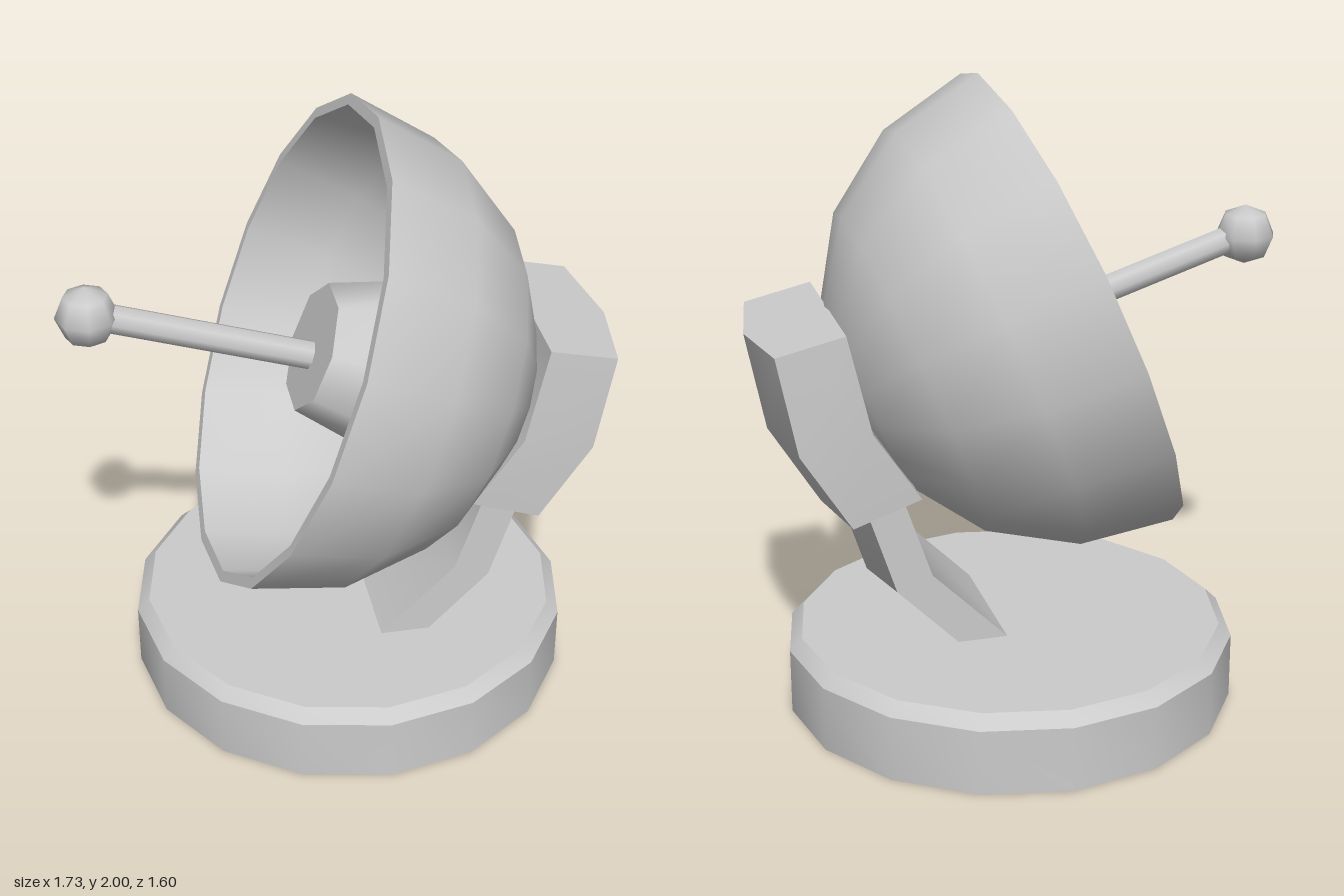
import * as THREE from 'three';
import { toCreasedNormals } from 'three/addons/utils/BufferGeometryUtils.js';

const grey = new THREE.MeshStandardMaterial({ color: 0xcccccc });

function part(name, geometry, crease) {
  const mesh = new THREE.Mesh(crease ? toCreasedNormals(geometry, crease) : geometry, grey);
  mesh.name = name;
  return mesh;
}

function lathe(points, sides) {
  return new THREE.LatheGeometry(points.map(([r, y]) => new THREE.Vector2(r, y)), sides);
}

// Loft of five-sided sections: flat inner side, outer side bulging at the middle.
// Each station is [innerX, innerY, outerX, outerY, halfWidth], listed from top to bottom.
function loftBracket(stations, bulge) {
  const position = [], index = [], n = 5;
  for (const [ix, iy, ox, oy, w] of stations) {
    const k = bulge / Math.hypot(ox - ix, oy - iy);
    const cx = ox + (ix - ox) * k, cy = oy + (iy - oy) * k;
    position.push(ix, iy, w, cx, cy, w, ox, oy, 0, cx, cy, -w, ix, iy, -w);
  }
  for (let s = 0; s < stations.length - 1; s++) {
    for (let i = 0; i < n; i++) {
      const a = s * n + i, b = s * n + (i + 1) % n;
      index.push(a, a + n, b, b, a + n, b + n);
    }
  }
  const last = (stations.length - 1) * n;
  for (let i = 1; i < n - 1; i++) {
    index.push(0, i, i + 1, last, last + i + 1, last + i);
  }
  const geometry = new THREE.BufferGeometry();
  geometry.setAttribute('position', new THREE.Float32BufferAttribute(position, 3));
  geometry.setIndex(index);
  return geometry;
}

export function createModel() {
  const model = new THREE.Group();
  model.name = 'dishAntenna';

  // Round base with a bevelled top edge
  const base = part('base', lathe([[0, 0], [0.72, 0], [0.72, 0.21], [0.68, 0.25], [0, 0.25]], 16), 0.6);
  base.position.set(0.05, 0, -0.08);
  model.add(base);

  // Bent support arm
  model.add(part('supportArm', loftBracket([
    [0.47, 0.9, 0.64, 0.86, 0.24],
    [0.43, 0.76, 0.59, 0.71, 0.24],
    [0.34, 0.49, 0.50, 0.43, 0.24],
    [0.05, 0.20, 0.26, 0.20, 0.24],
  ], 0.05), 0.8));

  // Thick bracket behind the dish
  model.add(part('rearBracket', loftBracket([
    [0.60, 1.31, 0.86, 1.25, 0.295],
    [0.53, 1.00, 0.80, 0.94, 0.305],
    [0.38, 0.77, 0.64, 0.68, 0.29],
  ], 0.048), 0.8));

  // Tilted dish: outer bowl, rim, then inner bowl
  const dish = new THREE.Group();
  dish.name = 'dish';
  const outer = [], inner = [];
  for (let i = 0; i <= 4; i++) {
    const a = (i * Math.PI) / 8;
    outer.push([0.78 * Math.sin(a), -0.78 * Math.cos(a)]);
    inner.unshift([0.745 * Math.sin(a), -0.74 * Math.cos(a)]);
  }
  dish.add(part('bowl', lathe([...outer, ...inner], 16), 0.6));

  // Tapered hub inside the bowl
  const hub = part('hub', lathe([[0.355, -0.65], [0.205, -0.09], [0, -0.09]], 8), 0.9);
  hub.rotation.y = Math.PI / 8;
  dish.add(hub);
  dish.position.set(-0.17, 1.275, 0.02);
  dish.rotation.z = THREE.MathUtils.degToRad(68.5);
  model.add(dish);

  // Receiver rod and ball
  const tip = new THREE.Vector3(-0.77, 1.44, 0.03);
  const root = new THREE.Vector3(-0.05, 1.205, 0.03);
  const along = tip.clone().sub(root);
  const rod = part('receiverRod', new THREE.CylinderGeometry(0.046, 0.046, along.length(), 8));
  rod.position.copy(root).addScaledVector(along, 0.5);
  rod.quaternion.setFromUnitVectors(new THREE.Vector3(0, 1, 0), along.normalize());
  model.add(rod);

  const ball = part('receiverBall', new THREE.SphereGeometry(0.097, 8, 4));
  ball.position.set(-0.77, 1.435, 0.03);
  model.add(ball);

  return model;
}
